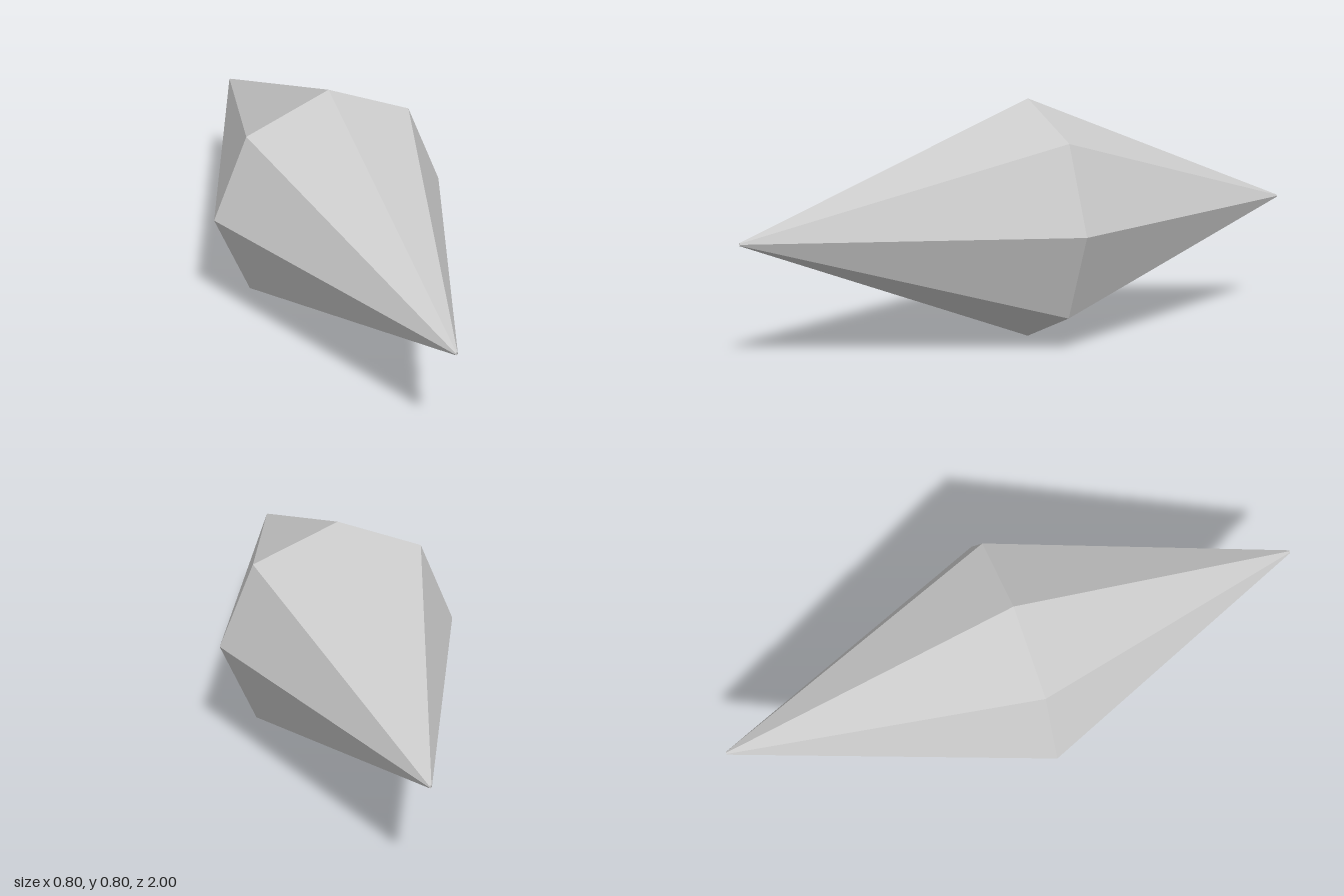
import * as THREE from 'three';

const SIDES = 8;
const RADIUS = 0.4;
const HALF_LENGTH = 1;
const TIP = 0.005;

export function createModel() {
  const group = new THREE.Group();
  group.name = 'crystal';

  // Eight-sided double pyramid: widest in the middle, tapering to tiny open tips
  const profile = [
    new THREE.Vector2(TIP, -HALF_LENGTH),
    new THREE.Vector2(RADIUS, 0),
    new THREE.Vector2(TIP, HALF_LENGTH),
  ];
  const geometry = new THREE.LatheGeometry(profile, SIDES);
  geometry.rotateX(Math.PI / 2); // lay the long axis along z
  geometry.translate(0, RADIUS, 0); // rest the lowest corner on the ground

  const material = new THREE.MeshStandardMaterial({
    color: 0xcccccc,
    flatShading: true,
    side: THREE.DoubleSide,
  });
  const body = new THREE.Mesh(geometry, material);
  body.name = 'crystalBody';
  group.add(body);
  return group;
}
